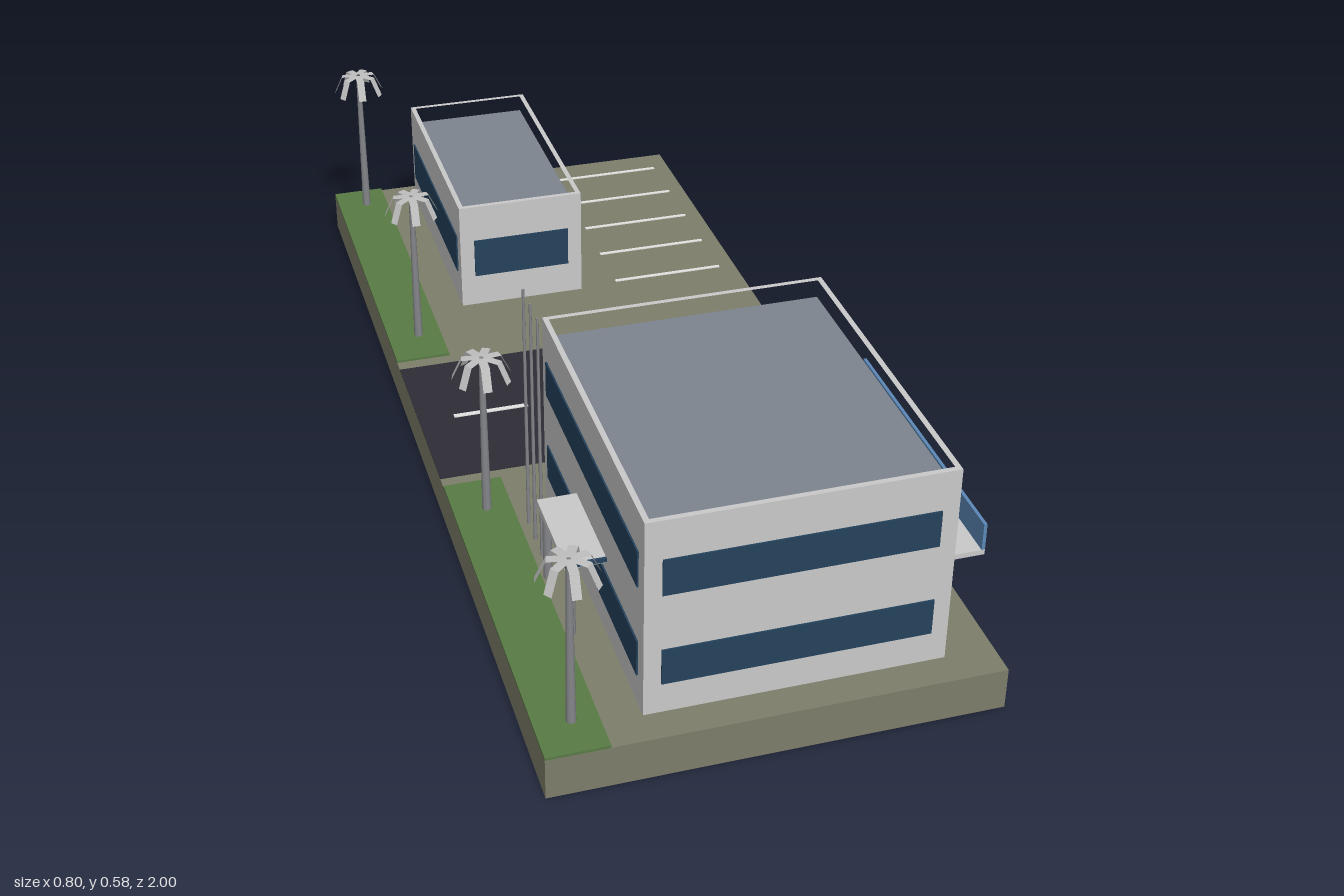
import * as THREE from 'three';

const mat = (name, color, extra = {}) => {
  const m = new THREE.MeshStandardMaterial({ color, ...extra });
  m.name = name;
  return m;
};

export function createModel() {
  const ground = mat('ground', 0x7d7d6b);
  const asphalt = mat('asphalt', 0x2e2d36);
  const grass = mat('grass', 0x587a45);
  const concrete = mat('concrete', 0xc9c9c9);
  const roofing = mat('roofing', 0x7c848e);
  const windowGlass = mat('window glass', 0x24425c);
  const balconyGlass = mat('balcony glass', 0x5b88b6);
  const paint = mat('road paint', 0xe2e2e0);
  const metal = mat('grey metal', 0x85868a);
  const leaf = mat('frond', 0xbfbfbf, { side: THREE.DoubleSide });

  const model = new THREE.Group();
  model.name = 'streetBlock';

  const add = (parent, name, geometry, material) => {
    const mesh = new THREE.Mesh(geometry, material);
    mesh.name = name;
    parent.add(mesh);
    return mesh;
  };
  // Box given by its two limits on each axis
  const box = (parent, name, material, [x0, x1], [y0, y1], [z0, z1]) => {
    const mesh = add(parent, name, new THREE.BoxGeometry(x1 - x0, y1 - y0, z1 - z0), material);
    mesh.position.set((x0 + x1) / 2, (y0 + y1) / 2, (z0 + z1) / 2);
    return mesh;
  };
  // Upright cylinder from y0 to y1
  const post = (parent, name, material, x, z, y0, y1, rTop, rBottom, sides = 10) => {
    const mesh = add(parent, name, new THREE.CylinderGeometry(rTop, rBottom, y1 - y0, sides), material);
    mesh.position.set(x, (y0 + y1) / 2, z);
    return mesh;
  };

  const G = 0.08; // ground level

  // Ground slab, road, lawns and painted lines
  box(model, 'groundSlab', ground, [-0.4, 0.4], [0, G], [-1, 1]);
  box(model, 'road', asphalt, [-0.4, 0.4], [G, G + 0.002], [-0.2, 0.2]);
  for (const z of [[-1, -0.23], [0.23, 1]]) {
    box(model, 'lawn', grass, [-0.4, -0.29], [G, G + 0.005], z);
  }
  for (const x of [-0.33, -0.03]) {
    box(model, 'roadDash', paint, [x, x + 0.15], [G + 0.002, G + 0.004], [-0.005, 0.005]);
  }
  for (let i = 0; i < 5; i++) {
    const z = -0.932 + i * 0.125;
    box(model, 'parkingLine', paint, [0.125, 0.365], [G, G + 0.002], [z - 0.004, z + 0.004]);
  }

  // Walls with a parapet, sunken roof and window bands on all four sides
  const building = (name, [x0, x1], [z0, z1], top, bands) => {
    const g = new THREE.Group();
    g.name = name;
    model.add(g);
    const t = 0.01;
    const rect = (Path, inset) => new Path([
      new THREE.Vector2(x0 + inset, -z0 - inset), new THREE.Vector2(x1 - inset, -z0 - inset),
      new THREE.Vector2(x1 - inset, -z1 + inset), new THREE.Vector2(x0 + inset, -z1 + inset),
    ]);
    const outline = rect(THREE.Shape, 0);
    outline.holes.push(rect(THREE.Path, t));
    const walls = add(g, 'walls',
      new THREE.ExtrudeGeometry(outline, { depth: top - G, bevelEnabled: false }), concrete);
    walls.rotation.x = -Math.PI / 2;
    walls.position.y = G;
    box(g, 'roof', roofing, [x0 + t, x1 - t], [top - 0.05, top - 0.035], [z0 + t, z1 - t]);
    const m = 0.03, d = 0.003;
    for (const y of bands) {
      box(g, 'frontWindow', windowGlass, [x0 + m, x1 - m], y, [z1, z1 + d]);
      box(g, 'backWindow', windowGlass, [x0 + m, x1 - m], y, [z0 - d, z0]);
      box(g, 'leftWindow', windowGlass, [x1, x1 + d], y, [z0 + m, z1 - m]);
      box(g, 'rightWindow', windowGlass, [x0 - d, x0], y, [z0 + m, z1 - m]);
    }
    return g;
  };
  const main = building('mainBuilding', [-0.22, 0.31], [0.3, 0.94], 0.465, [[0.14, 0.21], [0.32, 0.39]]);
  building('smallBuilding', [-0.22, 0.045], [-0.938, -0.42], 0.315, [[0.15, 0.235]]);

  // Balcony with a glass front
  box(main, 'balconySlab', concrete, [0.31, 0.39], [0.243, 0.253], [0.35, 0.89]);
  box(main, 'balconyGlass', balconyGlass, [0.384, 0.39], [0.253, 0.305], [0.35, 0.89]);

  // Entrance canopy with a dark front strip and two columns
  box(main, 'canopy', concrete, [-0.292, -0.22], [0.228, 0.24], [0.53, 0.72]);
  box(main, 'canopyStrip', windowGlass, [-0.292, -0.22], [0.233, 0.241], [0.72, 0.725]);
  for (const z of [0.545, 0.705]) {
    post(main, 'canopyColumn', metal, -0.278, z, G, 0.228, 0.008, 0.008);
  }

  // Three flagpoles
  for (const z of [0.38, 0.43, 0.48]) {
    post(model, 'flagpole', metal, -0.272, z, G, 0.576, 0.0025, 0.0035, 8);
  }

  // Palms: tapered trunk and fronds bent down at the ends
  const frond = new THREE.PlaneGeometry(1, 0.016, 2, 1).toNonIndexed();
  const p = frond.attributes.position;
  const radius = [0.004, 0.036, 0.054], height = [0.413, 0.411, 0.372];
  for (let i = 0; i < p.count; i++) {
    const k = Math.round((p.getX(i) + 0.5) * 2);
    p.setXYZ(i, radius[k], height[k], -p.getY(i));
  }
  frond.computeVertexNormals();
  for (const z of [-0.932, -0.32, 0.32, 0.925]) {
    const palm = new THREE.Group();
    palm.name = 'palm';
    palm.position.set(-0.337, 0, z);
    model.add(palm);
    post(palm, 'trunk', metal, 0, 0, G, 0.411, 0.005, 0.009, 8);
    for (let i = 0; i < 7; i++) {
      add(palm, 'frond', frond, leaf).rotation.y = (i / 7) * Math.PI * 2 + 0.2;
    }
  }
  return model;
}
